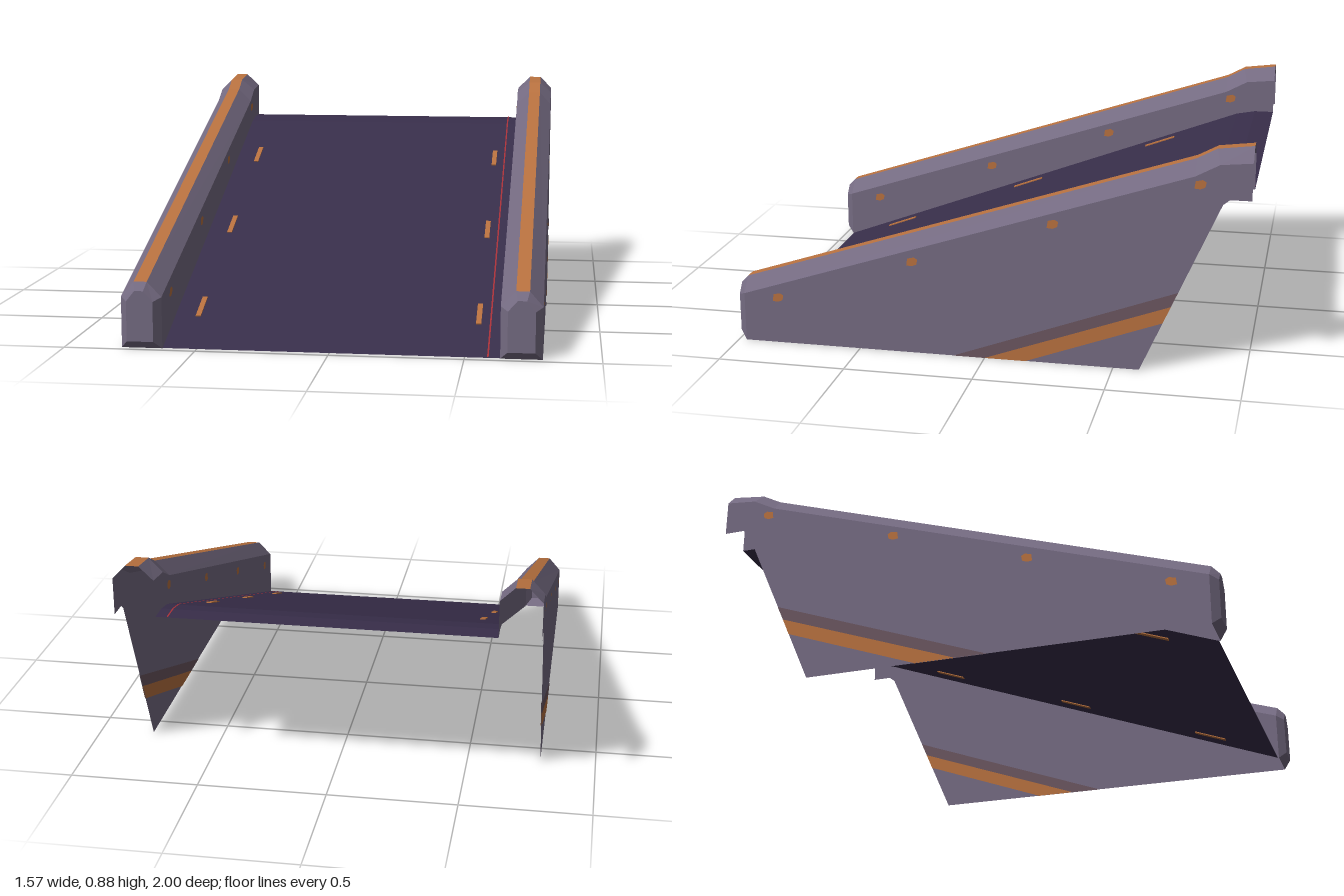
import * as THREE from 'three';

const mat = (name, color) =>
  new THREE.MeshStandardMaterial({ name, color, side: THREE.DoubleSide, flatShading: true });

// Flat-faced band between two polylines of [x, y, z] points
function band(a, b) {
  const pos = [];
  for (let i = 0; i < a.length - 1; i++) {
    pos.push(...a[i], ...b[i], ...b[i + 1], ...a[i], ...b[i + 1], ...a[i + 1]);
  }
  const geo = new THREE.BufferGeometry();
  geo.setAttribute('position', new THREE.Float32BufferAttribute(pos, 3));
  geo.computeVertexNormals();
  return geo;
}

// Upright sheet at a fixed x from an outline of [z, y] points
function sheet(outline, x) {
  const geo = new THREE.ShapeGeometry(new THREE.Shape(outline.map(p => new THREE.Vector2(...p))));
  const pos = geo.attributes.position;
  for (let i = 0; i < pos.count; i++) pos.setXYZ(i, x, pos.getY(i), pos.getX(i));
  geo.computeVertexNormals();
  return geo;
}

const line = (profile, x, lift = 0) => profile.map(([z, y]) => [x, y + lift, z]);

// Side profiles as [z, y]
const DECK = [[0.965, 0], [-0.84, 0.675], [-0.92, 0.69], [-1, 0.69]];
const SHOULDER = [[0.97, 0.195], [-0.79, 0.772], [-0.88, 0.82], [-1, 0.832]];
const RIDGE = [[0.97, 0.252], [-0.79, 0.828], [-0.865, 0.868], [-1, 0.885]];
const OUTER = 0.785, INNER = 0.63, RIDGE_OUT = 0.735, RIDGE_IN = 0.685;

export function createModel() {
  const model = new THREE.Group();
  model.name = 'ramp';
  const wallMat = mat('wall grey', 0x756b82);
  const deckMat = mat('deck purple', 0x382e4a);
  const orange = mat('trim orange', 0xb8713f);
  const brown = mat('faded stripe', 0x6b5660);
  const red = mat('guide red', 0xa83038);

  const add = (parent, name, geo, material) => {
    const mesh = new THREE.Mesh(geo, material);
    mesh.name = name;
    parent.add(mesh);
    return mesh;
  };

  // Sloping deck with a level lip at the top
  add(model, 'deck', band(line(DECK, -INNER), line(DECK, INNER)), deckMat);
  add(model, 'guideLine', band(line(DECK, 0.582, 0.003), line(DECK, 0.588, 0.003)), red);

  for (const s of [-1, 1]) {
    const wall = new THREE.Group();
    wall.name = s > 0 ? 'leftWall' : 'rightWall';
    model.add(wall);

    // Outer panel, inner panel and the bevelled top, open below and behind
    add(wall, 'outerPanel', sheet([
      [0.97, 0], ...SHOULDER, [-1, 0.69], [-0.92, 0.69], [-0.895, 0.67], [-0.6, 0],
    ], s * OUTER), wallMat);
    add(wall, 'innerPanel', sheet([[0.97, 0], ...SHOULDER, ...DECK.slice().reverse()], s * INNER), wallMat);
    add(wall, 'outerBevel', band(line(SHOULDER, s * OUTER), line(RIDGE, s * RIDGE_OUT)), wallMat);
    add(wall, 'innerBevel', band(line(RIDGE, s * RIDGE_IN), line(SHOULDER, s * INNER)), wallMat);
    add(wall, 'topStrip', band(line(RIDGE, s * RIDGE_OUT), line(RIDGE, s * RIDGE_IN)), orange);

    // Bevelled front end
    const back = [[OUTER, 0], [OUTER, 0.195], [RIDGE_OUT, 0.252], [RIDGE_IN, 0.252], [INNER, 0.195], [INNER, 0]];
    const front = [[0.758, 0.03], [0.758, 0.182], [0.726, 0.222], [0.692, 0.222], [0.657, 0.182], [0.657, 0.03]];
    const ring = (pts, z) => [...pts, pts[0]].map(([x, y]) => [s * x, y, z]);
    add(wall, 'frontBevel', band(ring(back, 0.97), ring(front, 1)), wallMat);
    const cap = new THREE.ShapeGeometry(new THREE.Shape(front.map(([x, y]) => new THREE.Vector2(s * x, y))));
    add(wall, 'frontCap', cap.translate(0, 0, 1), wallMat);

    // Diagonal stripes on both faces of the outer panel
    for (const x of [OUTER + 0.002, OUTER - 0.002]) {
      add(wall, 'stripe', sheet([[0, 0], [-0.16, 0], [-0.686, 0.195], [-0.715, 0.262]], s * x), orange);
      add(wall, 'fadedStripe', sheet([[0.125, 0], [0, 0], [-0.715, 0.262], [-0.741, 0.32]], s * x), brown);
    }

    // Small studs in a row below the shoulder
    for (let i = 0; i < 4; i++) {
      const z = 0.83 - i * 0.547, y = 0.188 + i * 0.185;
      const stud = [[0.022, -0.016], [0.018, 0.012], [-0.008, 0.018], [-0.022, 0.01], [-0.018, -0.01], [0, -0.018]]
        .map(([dz, dy]) => [z + dz, y + dy]);
      for (const x of [OUTER + 0.002, INNER - 0.002]) add(wall, 'stud', sheet(stud, s * x), orange);
    }

    // Marker lights set through the deck
    for (let i = 0; i < 3; i++) {
      const z = 0.695 - i * 0.602;
      const light = add(model, 'markerLight', new THREE.BoxGeometry(0.02, 0.008, 0.138), orange);
      light.position.set(s * 0.54, (0.965 - z) * 0.374, z);
      light.rotation.x = Math.atan(0.374);
    }
  }
  return model;
}
